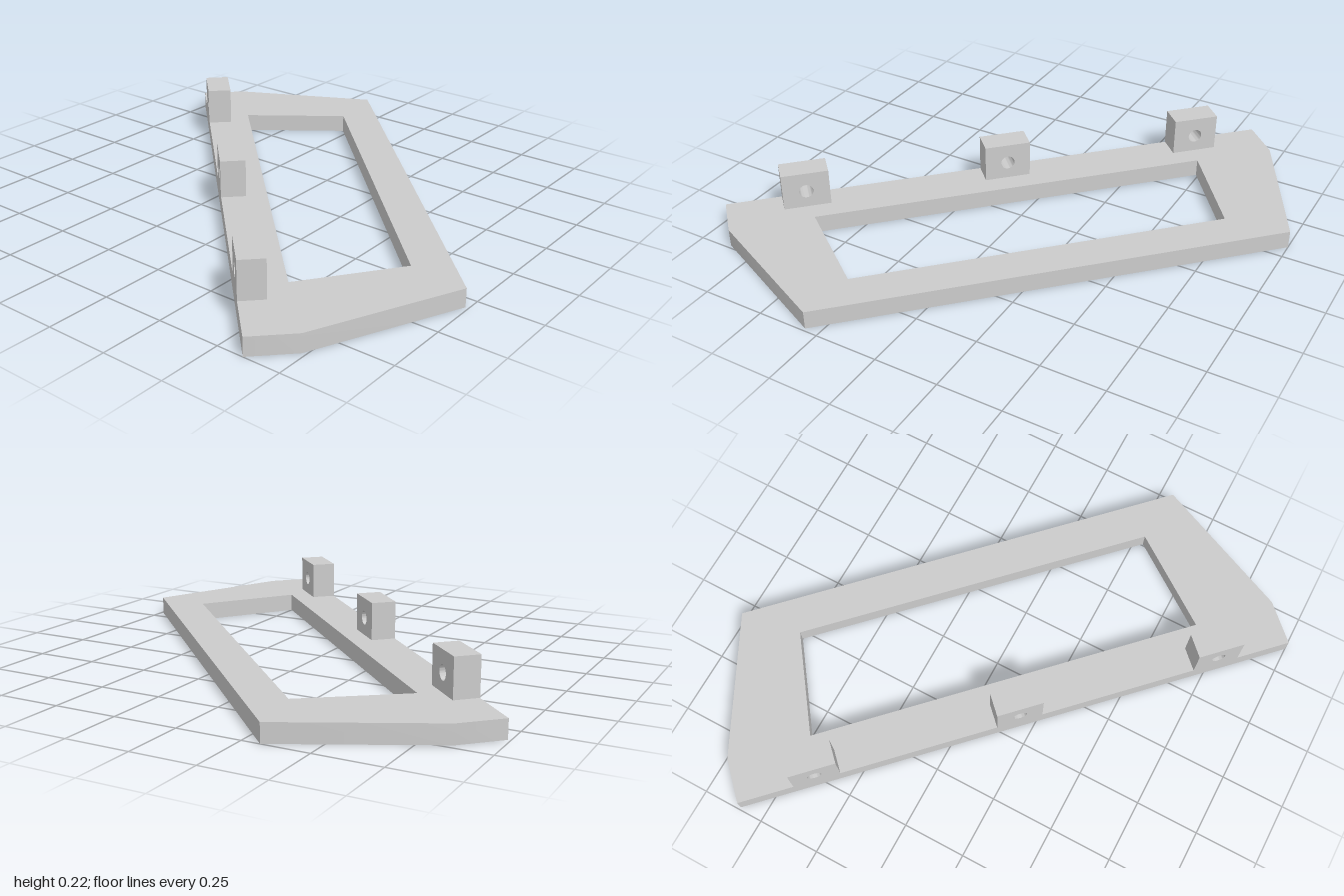
import * as THREE from 'three';
import { toCreasedNormals } from 'three/addons/utils/BufferGeometryUtils.js';

const PLATE_H = 0.072, LUG_H = 0.15, LUG_W = 0.185, LUG_D = 0.098;
const HOLE_R = 0.028, HOLE_Y = 0.07;
const EDGE_Z = -0.395 / Math.SQRT2; // outer edge, measured across the diagonal

// Extrude a shape, smoothing only across shallow angles
function extrude(shape, depth) {
  const geo = new THREE.ExtrudeGeometry(shape, { depth, bevelEnabled: false, curveSegments: 24 });
  return toCreasedNormals(geo, Math.PI / 6);
}

// Plan points (x, z) to shape points
const plan = (pts) => pts.map(([x, z]) => new THREE.Vector2(x, -z));

export function createModel() {
  const model = new THREE.Group();
  model.name = 'mountingFrame';
  const grey = new THREE.MeshStandardMaterial({ color: 0xcccccc });
  grey.name = 'lightGrey';

  // Flat frame lying on the ground; the window runs opposite to the outline so its walls face inward
  const outline = new THREE.Shape(plan([
    [0.597, -0.99], [0.725, -0.86], [1, -0.32], [-0.308, 0.988], [-0.87, 0.735], [-1, 0.605],
  ]));
  outline.holes.push(new THREE.Path(plan([
    [-0.64, 0.5], [-0.288, 0.757], [0.75, -0.28], [0.49, -0.63],
  ])));
  const frame = new THREE.Mesh(extrude(outline, PLATE_H).rotateX(-Math.PI / 2), grey);
  frame.name = 'framePlate';
  model.add(frame);

  // Drilled lugs standing along the diagonal outer edge
  const w = LUG_W / 2;
  const block = new THREE.Shape([
    new THREE.Vector2(-w, 0), new THREE.Vector2(w, 0),
    new THREE.Vector2(w, LUG_H), new THREE.Vector2(-w, LUG_H),
  ]);
  block.holes.push(new THREE.Path().absarc(0, HOLE_Y, HOLE_R, 0, Math.PI * 2, true));
  const lugGeo = extrude(block, LUG_D);
  const lugs = new THREE.Group();
  lugs.name = 'lugs';
  lugs.rotation.y = Math.PI / 4;
  [-0.822, -0.007, 0.809].forEach((x, i) => {
    const lug = new THREE.Mesh(lugGeo, grey);
    lug.name = 'lug' + (i + 1);
    lug.position.set(x, PLATE_H, EDGE_Z);
    lugs.add(lug);
  });
  model.add(lugs);
  return model;
}
